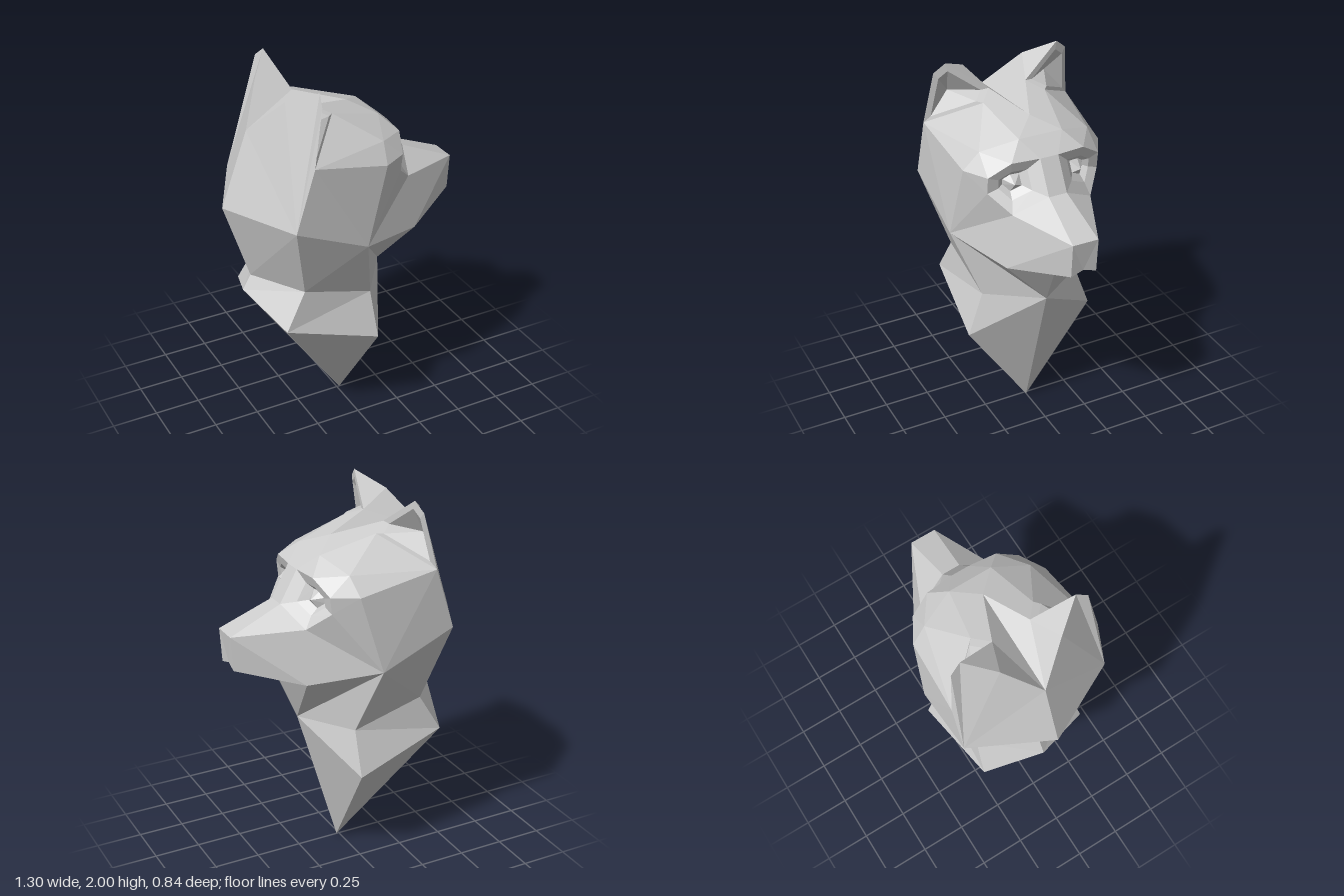
import * as THREE from 'three';

// Control points of the half with z >= 0; the other half is mirrored.
// A name ending in 0 is the same point moved onto the middle plane.
const P = {
  // bust, from the bottom tip up to the neck
  tip: [0.015, 0, 0], ruffBack: [-0.555, 0.82, 0], ruffSide: [-0.45, 0.7, 0.31],
  chest: [0.055, 0.55, 0.365], throat: [0.25, 0.795, 0],
  neckBack: [-0.51, 0.9, 0], neckSide: [-0.335, 0.9, 0.285], neckFront: [0.05, 0.79, 0.28],
  // skull and jaw
  nape: [-0.65, 1.33, 0], skull: [-0.44, 1.33, 0.418], jaw: [-0.04, 1.155, 0.415],
  crown: [-0.505, 1.73, 0], top: [0.05, 1.78, 0], forehead: [0.17, 1.725, 0.12],
  temple: [0.1, 1.665, 0.305], cheek: [0.08, 1.57, 0.385],
  // muzzle
  lip: [0.32, 1.1, 0.265], chin: [0.37, 1.08, 0], noseLow: [0.635, 1.17, 0.07],
  noseMid: [0.63, 1.19, 0], noseTop: [0.647, 1.355, 0.07],
  // edge of the eye socket
  bridgeTop: [0.265, 1.645, 0.05], brow: [0.25, 1.645, 0.2], eyeOut: [0.21, 1.57, 0.31],
  eyeLow: [0.2, 1.48, 0.31], eyeCheek: [0.3, 1.385, 0.22], bridge: [0.36, 1.475, 0.05],
  // ear
  earBase: [-0.335, 1.66, 0.415], earOut: [-0.275, 1.95, 0.375], earTip: [-0.257, 2, 0.315],
  earRidge: [-0.37, 1.92, 0.17], earIn: [-0.2, 1.845, 0.105], earNotch: [-0.12, 1.81, 0.175],
};

const point = (key) => {
  if (P[key]) return P[key];
  const [x, y] = P[key.slice(0, -1)];
  return [x, y, 0];
};
const faces = (list) => list.map((f) => f.split(' ').map(point));

// Polygons are split into fans and mirrored across the middle plane.
function part(name, polygons) {
  const pos = [];
  for (const poly of polygons) {
    for (let i = 1; i < poly.length - 1; i++) {
      const tri = [poly[0], poly[i], poly[i + 1]];
      tri.forEach((p) => pos.push(...p));
      [...tri].reverse().forEach(([x, y, z]) => pos.push(x, y, -z));
    }
  }
  const g = new THREE.BufferGeometry();
  g.setAttribute('position', new THREE.Float32BufferAttribute(pos, 3));
  g.computeVertexNormals();
  const mesh = new THREE.Mesh(g, new THREE.MeshStandardMaterial({ color: 0xcccccc, flatShading: true }));
  mesh.name = name;
  return mesh;
}

// Rings shrinking from a rim towards a centre, closed by one last point.
// Each step is [scale, shift in x].
function hollow(rimNames, centre, steps, endShift) {
  const rim = rimNames.split(' ').map(point);
  const rings = [rim];
  for (const [t, dx] of steps) {
    rings.push(rim.map((p) => p.map((v, k) => centre[k] + (v - centre[k]) * t + (k === 0 ? dx : 0))));
  }
  const end = [centre[0] + endShift, centre[1], centre[2]];
  const polys = [];
  for (let i = 0; i < rim.length; i++) {
    const j = (i + 1) % rim.length;
    for (let r = 0; r < rings.length - 1; r++) {
      polys.push([rings[r][i], rings[r][j], rings[r + 1][j], rings[r + 1][i]]);
    }
    const last = rings[rings.length - 1];
    polys.push([last[i], last[j], end]);
  }
  return polys;
}

export function createModel() {
  const model = new THREE.Group();
  model.name = 'animalBust';

  model.add(part('chest', faces([
    'tip chest ruffSide', 'tip ruffSide ruffBack', 'tip throat chest',
    'chest throat neckFront', 'ruffSide chest neckFront neckSide',
    'ruffBack ruffSide neckSide neckBack',
  ])));

  model.add(part('neck', faces([
    'neckBack neckSide skull nape', 'neckSide neckFront jaw skull',
    'neckFront throat jaw', 'throat lip jaw', 'throat chin lip',
  ])));

  model.add(part('muzzle', faces([
    'jaw lip eyeCheek', 'lip noseLow noseTop eyeCheek', 'eyeCheek noseTop bridge',
    'bridge noseTop noseTop0 bridge0', 'noseTop noseLow noseMid noseTop0',
    'lip chin noseMid noseLow', 'bridgeTop bridge bridge0 bridgeTop0',
  ])));

  model.add(part('head', faces([
    'nape skull crown', 'skull jaw earBase', 'jaw cheek earBase',
    'jaw eyeCheek eyeLow', 'jaw eyeLow cheek', 'cheek eyeLow eyeOut',
    'cheek eyeOut temple', 'temple eyeOut brow', 'temple brow forehead',
    'forehead brow bridgeTop', 'forehead bridgeTop bridgeTop0 forehead0',
    'earBase cheek temple', 'earBase temple earNotch', 'earNotch temple forehead',
    'earNotch forehead top', 'top forehead forehead0',
    'earIn earNotch top', 'crown earIn top',
  ])));

  model.add(part('ears', faces([
    'skull earBase earOut', 'skull earOut earTip', 'skull earTip earRidge',
    'skull earRidge crown', 'crown earRidge earIn', 'earRidge earTip earIn',
  ])));

  model.add(part('earHollows',
    hollow('earNotch earIn earTip earOut earBase', [-0.24, 1.82, 0.28], [[0.76, 0]], -0.09)));

  // Sunken lids with a slightly raised eyeball
  model.add(part('eyes',
    hollow('bridgeTop brow eyeOut eyeLow eyeCheek bridge', [0.24, 1.525, 0.185],
      [[0.55, -0.01], [0.32, -0.035]], 0.015)));

  return model;
}
